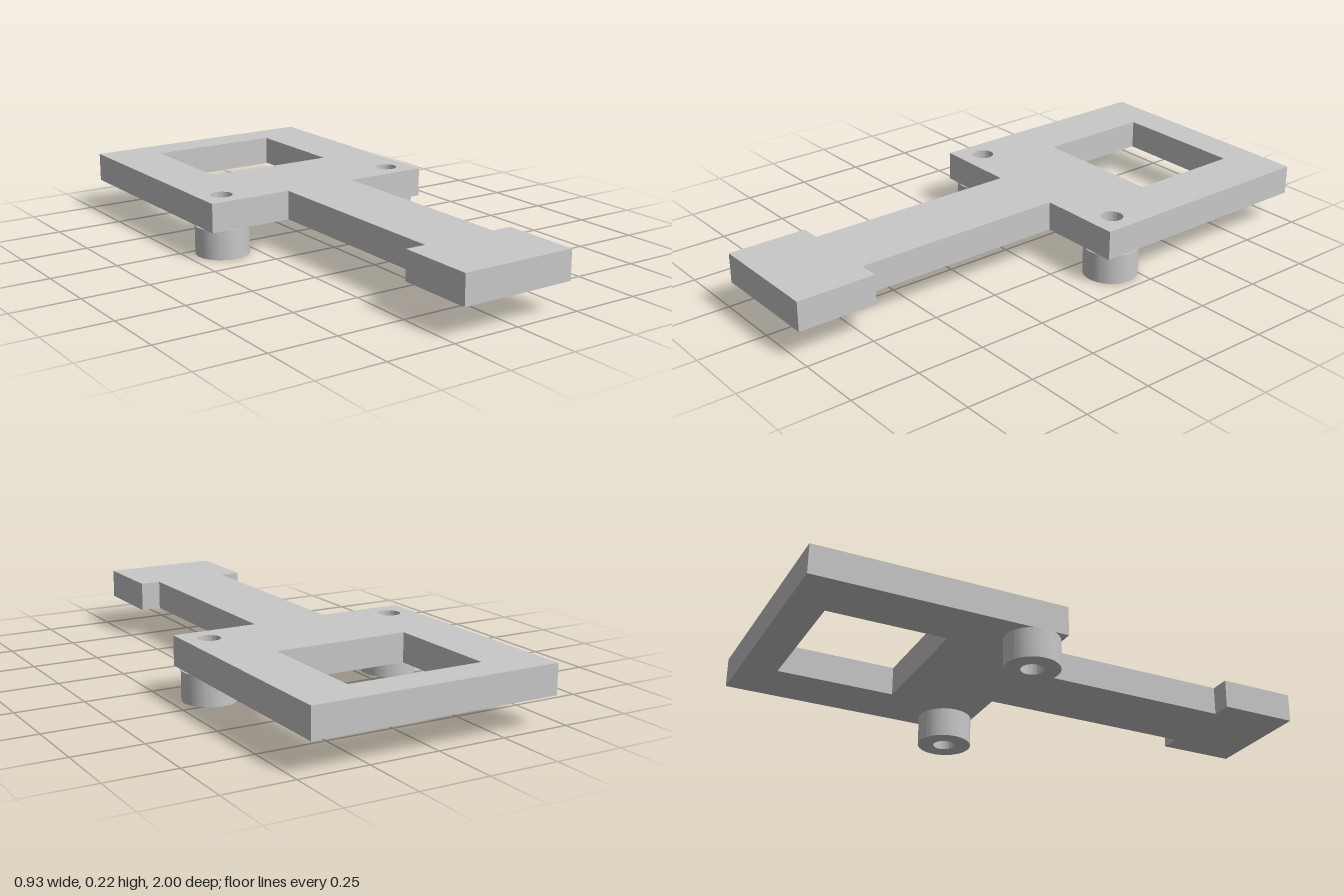
import * as THREE from 'three';
import { toCreasedNormals } from 'three/addons/utils/BufferGeometryUtils.js';

const PLATE_BOTTOM = 0.108, PLATE_TOP = 0.215;
const BOSS_X = 0.365, BOSS_Z = -0.18, BOSS_R = 0.098, HOLE_R = 0.04;

// Extrudes a plan outline (x, -z) upward between two heights
function slab(shape, y0, y1) {
  const geo = new THREE.ExtrudeGeometry(shape, { depth: y1 - y0, bevelEnabled: false, curveSegments: 32 });
  geo.rotateX(-Math.PI / 2);
  geo.translate(0, y0, 0);
  return toCreasedNormals(geo, 0.6);
}

function circleHole(x, z) {
  return new THREE.Path().absarc(x, -z, HOLE_R, 0, Math.PI * 2, true);
}

export function createModel() {
  const group = new THREE.Group();
  group.name = 'bracket';
  const grey = new THREE.MeshStandardMaterial({ color: 0xc8c8c8 });
  grey.name = 'grey';

  const add = (name, geometry) => {
    const mesh = new THREE.Mesh(geometry, grey);
    mesh.name = name;
    group.add(mesh);
  };

  // Plate: square head, narrow arm and wider end pad, as mirrored half outline [x, z],
  // counter-clockwise so that the hole walls face into the holes
  const half = [[0.215, 1], [0.215, 0.71], [0.14, 0.71], [0.14, -0.088], [0.455, -0.088], [0.455, -1]];
  const outline = [...half, ...half.map(([x, z]) => [-x, z]).reverse()];
  const plate = new THREE.Shape(outline.map(([x, z]) => new THREE.Vector2(x, -z)));

  // Rectangular window (clockwise) and two screw holes
  const windowCorners = [[-0.25, -0.872], [0.25, -0.872], [0.25, -0.44], [-0.25, -0.44]];
  plate.holes.push(new THREE.Path(windowCorners.map(([x, z]) => new THREE.Vector2(x, -z))));
  for (const side of [-1, 1]) plate.holes.push(circleHole(side * BOSS_X, BOSS_Z));
  add('plate', slab(plate, PLATE_BOTTOM, PLATE_TOP));

  // Hollow round standoffs below the screw holes
  for (const side of [-1, 1]) {
    const ring = new THREE.Shape();
    ring.absarc(side * BOSS_X, -BOSS_Z, BOSS_R, 0, Math.PI * 2, false);
    ring.holes.push(circleHole(side * BOSS_X, BOSS_Z));
    add(side > 0 ? 'leftStandoff' : 'rightStandoff', slab(ring, 0, PLATE_BOTTOM));
  }
  return group;
}
